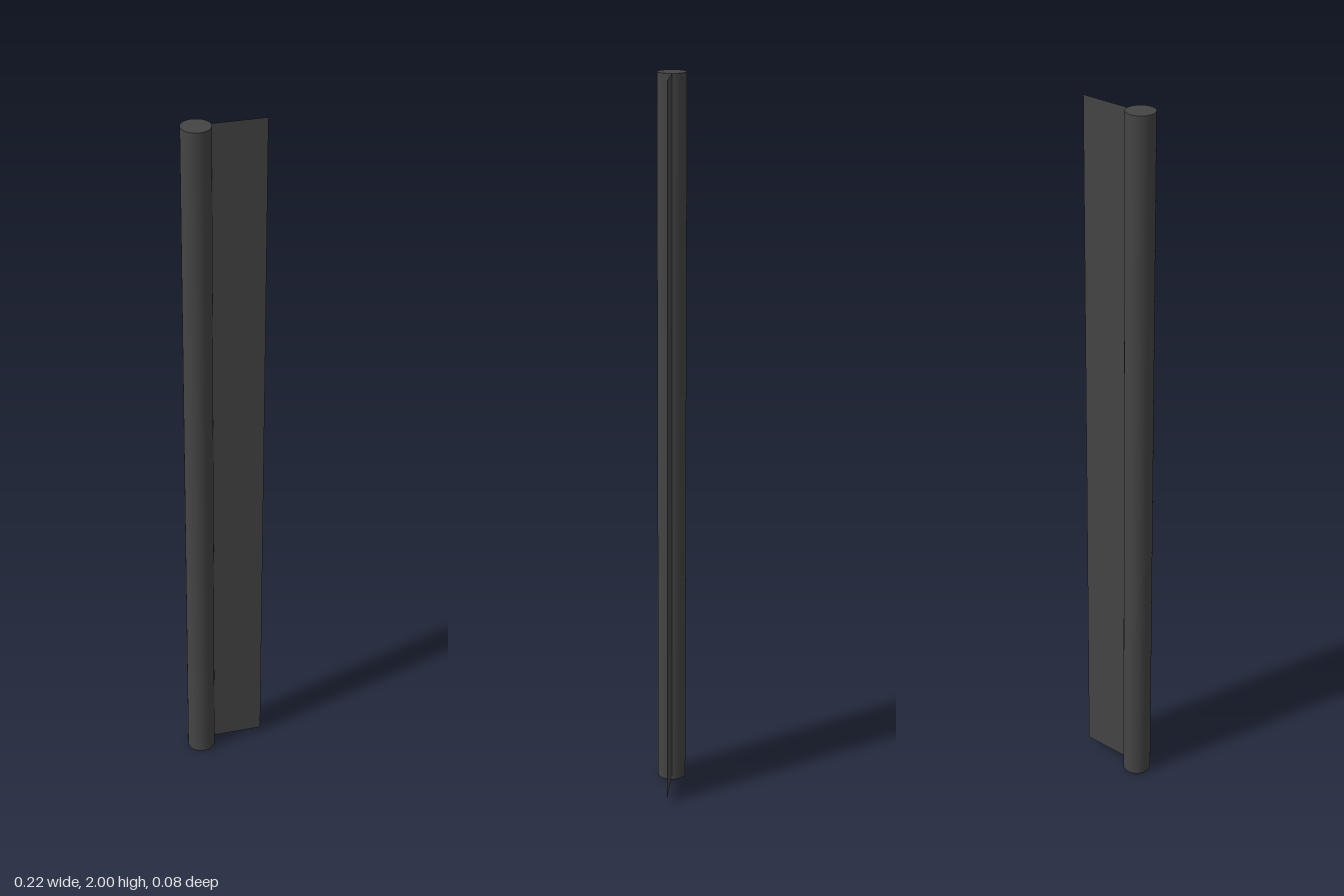
import * as THREE from 'three';

export function createModel() {
  const group = new THREE.Group();
  const radius = 0.039, height = 2, poleX = -0.071;

  // Upright round pole with closed ends
  const pole = new THREE.Mesh(
    new THREE.CylinderGeometry(radius, radius, height, 32),
    new THREE.MeshStandardMaterial({ color: 0x444444 })
  );
  pole.name = 'pole';
  pole.position.set(poleX, height / 2, 0);
  group.add(pole);

  // Thin sheet attached along the pole, stopping just above the ground
  const left = poleX + radius - 0.002, right = 0.11, bottom = 0.015;
  const sheet = new THREE.Mesh(
    new THREE.PlaneGeometry(right - left, height - bottom),
    new THREE.MeshStandardMaterial({ color: 0x444444, side: THREE.DoubleSide })
  );
  sheet.name = 'sheet';
  sheet.position.set((left + right) / 2, (height + bottom) / 2, -0.004);
  group.add(sheet);

  return group;
}
